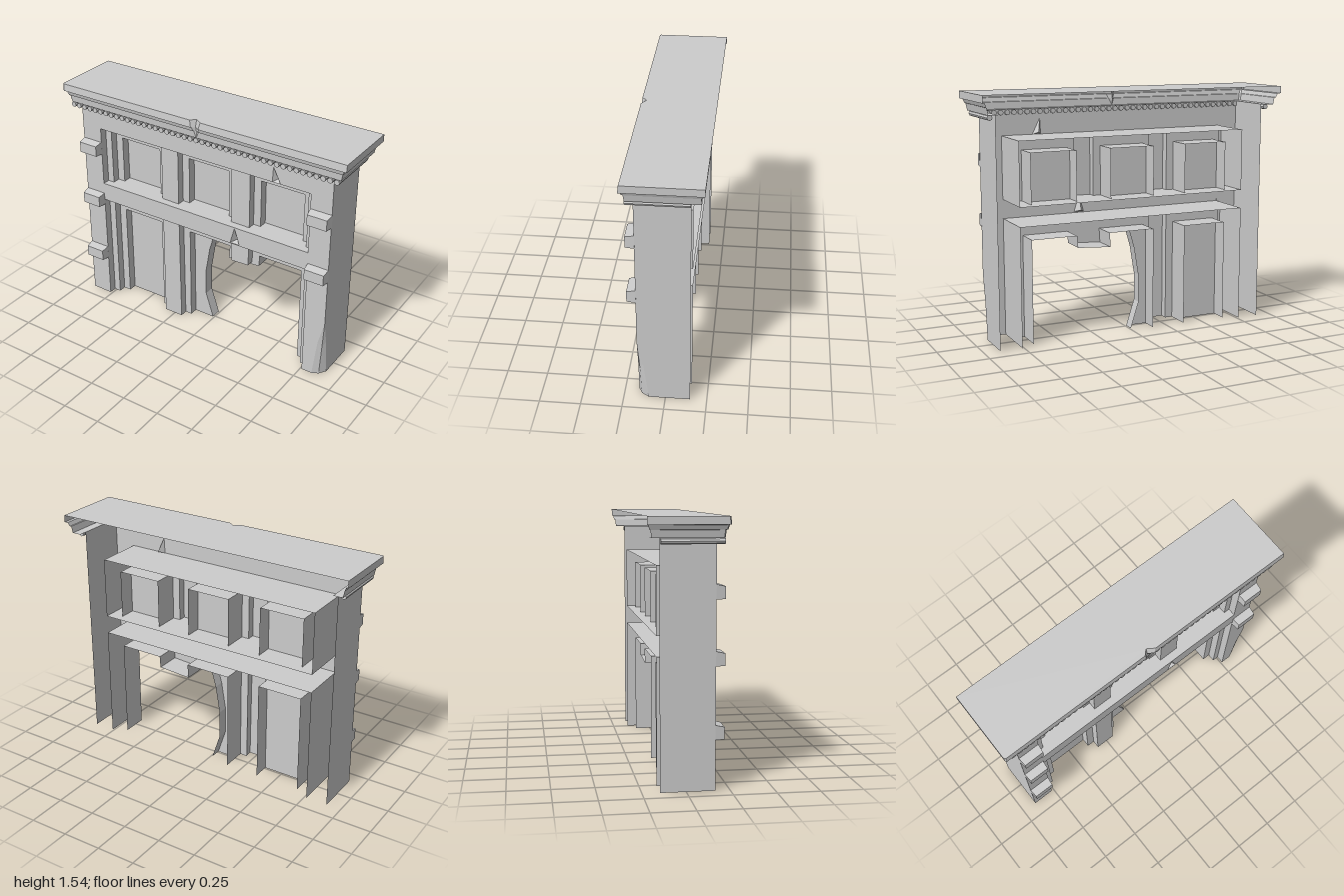
import * as THREE from 'three';

const mat = new THREE.MeshStandardMaterial({ color: 0xcccccc, flatShading: true, side: THREE.DoubleSide });
const FRONT = 0.165, FRAME = 0.115, INNER = 0.065, PANEL = 0.01, BACK = -0.15, MID = -0.1;

export function createModel() {
  const group = new THREE.Group();
  const add = (name, geo) => {
    const mesh = new THREE.Mesh(geo, mat);
    mesh.name = name;
    group.add(mesh);
    return mesh;
  };
  const shapeOf = (pts) => new THREE.Shape(pts.map(([x, y]) => new THREE.Vector2(x, y)));

  // flat sheet at depth z
  const sheet = (name, pts, z, holes = []) => {
    const s = shapeOf(pts);
    s.holes = holes.map(shapeOf);
    return add(name, new THREE.ShapeGeometry(s).translate(0, 0, z));
  };
  // skin joining equal-length rows of 3D points
  const loft = (name, rows) => {
    const n = rows[0].length, idx = [];
    for (let r = 0; r < rows.length - 1; r++) {
      for (let i = 0; i < n - 1; i++) {
        const a = r * n + i, b = a + n;
        idx.push(a, b, a + 1, b, b + 1, a + 1);
      }
    }
    const g = new THREE.BufferGeometry();
    g.setAttribute('position', new THREE.Float32BufferAttribute(rows.flat(2), 3));
    g.setIndex(idx);
    g.computeVertexNormals();
    return add(name, g);
  };
  // outline pushed straight back from z0 to z1
  const sleeve = (name, pts, z0, z1) =>
    loft(name, [z0, z1].map((z) => pts.map(([x, y]) => [x, y, z])));
  // opening that starts at the bottom edge
  const door = (a, b, y, h) => [[a, y], [a, h], [b, h], [b, y]];
  // sheet with openings cut from its bottom edge, each lined by a sleeve
  const frame = (name, x0, x1, y, top, z, zEnd, openings) => {
    sheet(name, [[x0, y], ...openings.flat(), [x1, y], [x1, top], [x0, top]], z);
    openings.forEach((o) => sleeve(name + 'Reveal', o, z, zEnd));
  };

  // front wall with lower bay, upper niche, cracks and a chipped corner
  const lower = door(-0.765, 0.76, 0, 0.745);
  const niche = door(-0.765, 0.76, 0.865, 1.26);
  const lintelCrack = [[0.22, 0.75], [0.25, 0.86], [0.285, 0.752]];
  const nicheCrack = [[0.505, 1.26], [0.51, 1.36], [0.56, 1.26]];
  sheet('frontWall',
    [[-0.905, 0], ...lower, [0.83, 0], [0.86, 0.25], [0.9, 0.41], [0.9, 1.42], [-0.905, 1.42]],
    FRONT, [[niche[0], niche[1], ...nicheCrack, niche[2], niche[3]], lintelCrack]);
  sleeve('lowerBayReveal', lower, FRONT, BACK);
  sleeve('nicheReveal', [...niche, niche[0]], FRONT, BACK);
  for (const c of [lintelCrack, nicheCrack]) {
    const rim = c.map(([x, y]) => [x, y, FRONT]);
    const deep = [(c[0][0] + c[2][0]) / 2, c[0][1] + 0.015, FRONT - 0.04];
    loft('crack', [[...rim, rim[0]], [deep, deep, deep, deep]]);
  }

  // side walls, the right one chipped at the foot
  const side = (name, x, pts) => {
    const m = sheet(name, pts, 0);
    m.geometry.rotateY(-Math.PI / 2).translate(x, 0, 0);
  };
  side('rightWall', -0.905, [[BACK, 0], [FRONT, 0], [FRONT, 1.42], [BACK, 1.42]]);
  side('leftWall', 0.9, [[BACK, 0], [0.1, 0], [0.13, 0.25], [FRONT, 0.41], [FRONT, 1.42], [BACK, 1.42]]);
  loft('footChip', [
    [[0.83, 0, FRONT], [0.86, 0.25, FRONT], [0.9, 0.41, FRONT]],
    [[0.87, 0, 0.145], [0.885, 0.22, 0.152], [0.9, 0.41, FRONT]],
    [[0.9, 0, 0.1], [0.9, 0.25, 0.13], [0.9, 0.41, FRONT]],
  ]);

  // stepped panel bay: frame, inner frame and back panel
  const panelBay = (x0, x1, y, top, innerTop) => {
    frame('panelFrame', x0, x1, y, top, INNER, MID, [door(x0 + 0.05, x1 - 0.05, y, innerTop)]);
    sheet('panel', door(x0 + 0.05, x1 - 0.05, y, innerTop), PANEL);
  };
  const bays = [[-0.72, -0.325], [-0.2, 0.195], [0.325, 0.72]];
  frame('nicheFrame', -0.765, 0.76, 0.865, 1.26, FRAME, INNER, bays.map(([a, b]) => door(a, b, 0.865, 1.235)));
  bays.forEach(([a, b]) => panelBay(a, b, 0.865, 1.235, 1.18));

  // lower bay with panel on one side and opening with keystone on the other
  frame('lowerFrame', -0.765, 0.76, 0, 0.745, FRAME, INNER, [
    door(-0.72, -0.325, 0, 0.715),
    [[-0.195, 0], [-0.2, 0.715], [0.195, 0.715], [0.2, 0.585], [0.32, 0.59], [0.325, 0.715], [0.72, 0.715], [0.72, 0]],
  ]);
  panelBay(-0.72, -0.325, 0, 0.715, 0.65);
  frame('openingFrame', -0.2, 0.72, 0, 0.715, INNER, MID, [
    [[-0.15, 0], [-0.15, 0.65], [0.155, 0.65], [0.15, 0.56], [0.37, 0.575], [0.375, 0.65], [0.67, 0.65], [0.67, 0]],
  ]);

  // broken panel beside the opening
  const broken = [[-0.01, 0], [-0.065, 0.17], [-0.065, 0.35], [-0.035, 0.53], [0, 0.65]];
  sheet('brokenPanel', [[-0.15, 0], ...broken, [-0.15, 0.65]], PANEL);
  sleeve('brokenPanelEdge', broken, PANEL, -0.06);

  // pilaster blocks, narrowed towards the front; one is missing
  const block = (x, y) => {
    const g = new THREE.BoxGeometry(0.14, 0.085, 0.055);
    const p = g.attributes.position;
    for (let i = 0; i < p.count; i++) {
      if (p.getZ(i) > 0) p.setXY(i, p.getX(i) * 0.92, p.getY(i) * (p.getY(i) > 0 ? 0.7 : 0.95));
    }
    add('pilasterBlock', g.translate(x, y, FRONT + 0.025));
  };
  for (const y of [0.333, 0.75, 1.122]) {
    block(-0.835, y);
    if (y > 0.5) block(0.832, y);
  }

  // row of beads; the end ones run back along the sides
  const count = 45;
  for (let i = 0; i < count; i++) {
    const end = i === 0 || i === count - 1;
    const len = end ? 0.355 : 0.05;
    const g = new THREE.CylinderGeometry(0.017, 0.017, len, 8).rotateX(Math.PI / 2);
    add('bead', g.translate(-0.938 + (1.872 * i) / (count - 1), 1.402, 0.205 - len / 2));
  }

  // mantel shell, open at the back, with a notch in the middle of the front
  const ring = ([y, x, z, zb, k]) => [
    [-x, y, zb], [-x, y, z - 0.008], [-x + 0.01, y, z], [-0.03 * k, y, z], [0, y, z - 0.03 * k],
    [0.045 * k, y, z], [x, y, z], [x, y, zb],
  ];
  const levels = [
    [1.537, 1, 0.225, -0.23, 1],
    [1.492, 1, 0.23, -0.23, 0.7],
    [1.49, 0.983, 0.222, -0.222, 0.7],
    [1.465, 0.973, 0.215, -0.215, 0.45],
    [1.463, 0.968, 0.207, -0.207, 0.45],
    [1.42, 0.96, 0.203, -0.205, 0],
    [1.42, 0.9, FRONT, -0.205, 0],
  ];
  loft('mantelMoulding', levels.map(ring));
  const top = new THREE.ShapeGeometry(shapeOf(ring(levels[0]).map(([x, , z]) => [x, -z])));
  add('mantelTop', top.rotateX(-Math.PI / 2).translate(0, 1.537, 0));

  return group;
}
